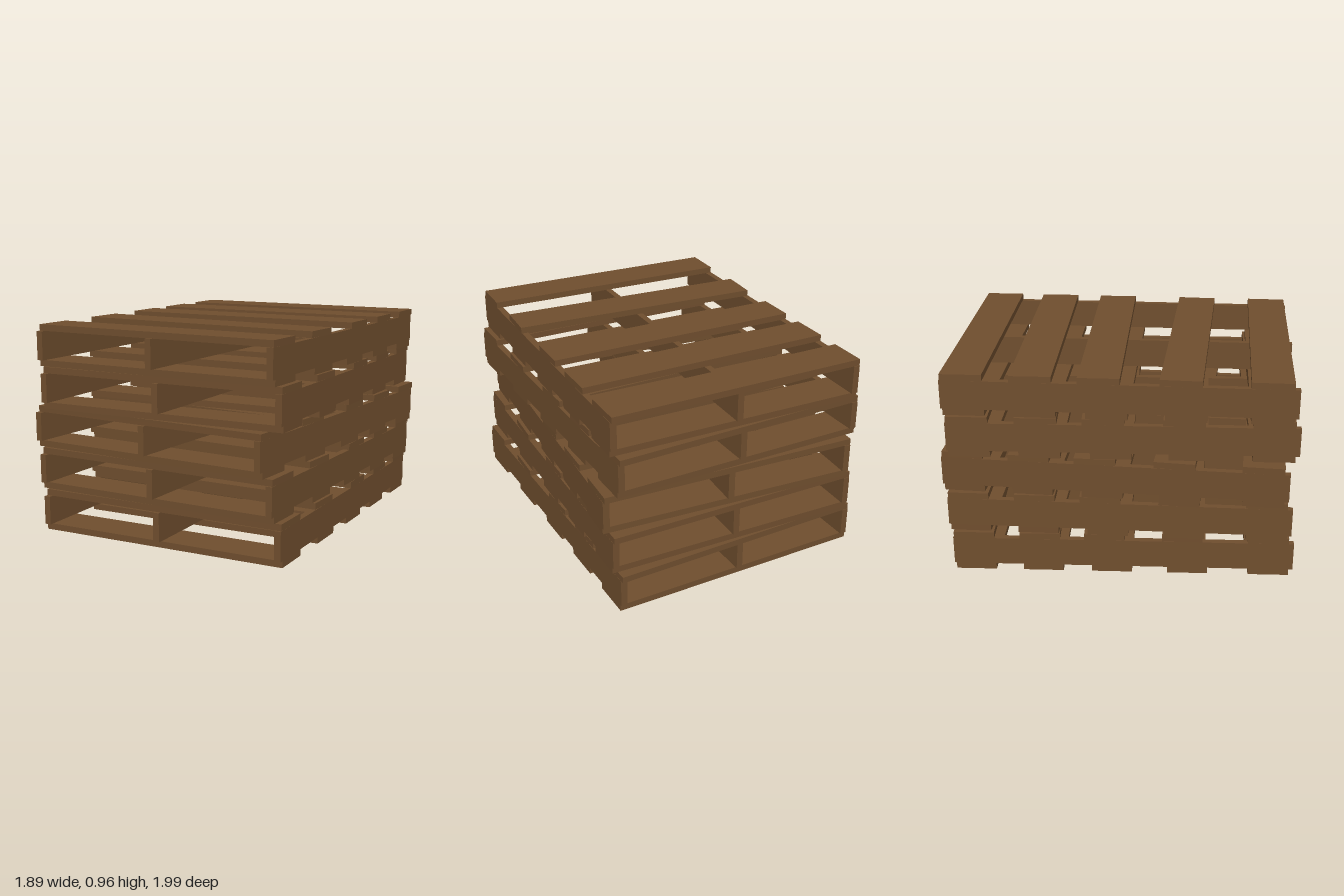
import * as THREE from 'three';

const SLAT_H = 0.0295, STRINGER_H = 0.134, PITCH = 0.193;
const WIDTH = 1.22, LENGTH = 1.575, SLAT_W = 0.187, STRINGER_W = 0.03;

const wood = new THREE.MeshStandardMaterial({ color: 0x6f4e2e });
const slatGeometry = new THREE.BoxGeometry(WIDTH, SLAT_H, SLAT_W);
const stringerGeometry = new THREE.BoxGeometry(STRINGER_W, STRINGER_H, LENGTH);

// Deck boards: z at the left (+x) end and at the right (-x) end, slightly crooked
const topDeck = [[0.685, 0.67], [0.322, 0.275], [-0.1, -0.084], [-0.41, -0.384], [-0.71, -0.69]];
const bottomDeck = [[0.675, 0.675], [0.3, 0.3], [-0.05, -0.05], [-0.37, -0.37], [-0.685, -0.685]];

function addDeck(parent, boards, y, name) {
  for (const [zLeft, zRight] of boards) {
    const slat = new THREE.Mesh(slatGeometry, wood);
    slat.name = name;
    slat.position.set(0, y, (zLeft + zRight) / 2);
    slat.rotation.y = -Math.atan((zLeft - zRight) / WIDTH);
    parent.add(slat);
  }
}

function createPallet() {
  const pallet = new THREE.Group();
  pallet.name = 'pallet';
  addDeck(pallet, bottomDeck, SLAT_H / 2, 'bottomSlat');
  // Three upright beams between the decks
  for (const side of [-1, 0, 1]) {
    const stringer = new THREE.Mesh(stringerGeometry, wood);
    stringer.name = 'stringer';
    stringer.position.set(side * (WIDTH - STRINGER_W) / 2, SLAT_H + STRINGER_H / 2, 0);
    pallet.add(stringer);
  }
  addDeck(pallet, topDeck, SLAT_H * 1.5 + STRINGER_H, 'topSlat');
  return pallet;
}

export function createModel() {
  const stack = new THREE.Group();
  stack.name = 'palletStack';
  // Each pallet sits at its own slight turn
  const turns = [28.6, 30.6, 33.1, 28.7, 30.6];
  const shifts = [-0.003, -0.007, -0.013, -0.001, -0.005];
  turns.forEach((degrees, i) => {
    const pallet = createPallet();
    pallet.position.set(shifts[i], i * PITCH, 0.012);
    pallet.rotation.y = -THREE.MathUtils.degToRad(degrees);
    stack.add(pallet);
  });
  return stack;
}
